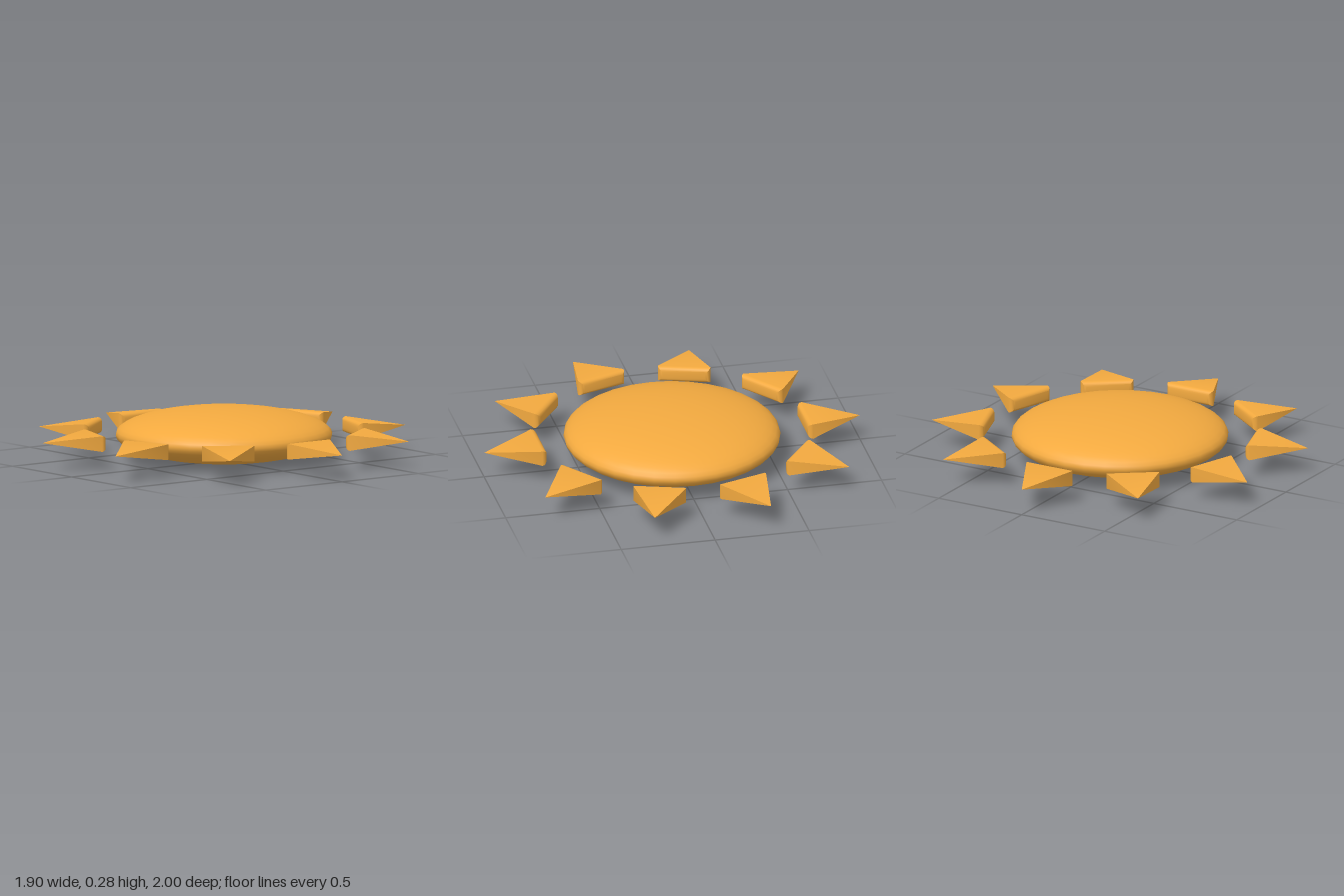
import * as THREE from 'three';
import { toCreasedNormals } from 'three/addons/utils/BufferGeometryUtils.js';

const MID_Y = 0.138;
const RAY_COUNT = 10;

// A rectangular pyramid along +z whose base has rounded edges.
function rayGeometry() {
  const base = 0.693, tip = 1, halfWidth = 0.137, halfHeight = 0.041, round = 0.027, steps = 4;
  const positions = [], index = [];

  // Rectangular rings swelling over the rounded base edge
  for (let i = 0; i <= steps; i++) {
    const t = (i / steps) * Math.PI / 2;
    const inset = round * (1 - Math.sin(t));
    const w = halfWidth - inset, h = halfHeight - inset;
    const z = base + round * (1 - Math.cos(t));
    positions.push(-w, -h, z, w, -h, z, w, h, z, -w, h, z);
  }
  const tipIndex = positions.length / 3;
  positions.push(0, 0, tip);

  // Base cap, rounded edge, then four faces meeting at the tip
  index.push(0, 2, 1, 0, 3, 2);
  for (let i = 0; i <= steps; i++) {
    for (let k = 0; k < 4; k++) {
      const a = i * 4 + k, b = i * 4 + (k + 1) % 4;
      if (i < steps) index.push(a, b, b + 4, a, b + 4, a + 4);
      else index.push(a, b, tipIndex);
    }
  }
  const geometry = new THREE.BufferGeometry();
  geometry.setAttribute('position', new THREE.Float32BufferAttribute(positions, 3));
  geometry.setIndex(index);
  return toCreasedNormals(geometry, 0.75);
}

export function createModel() {
  const model = new THREE.Group();
  model.name = 'sun';
  const material = new THREE.MeshStandardMaterial({ color: 0xf2a93f });

  // Flattened ball in the middle
  const discGeometry = new THREE.SphereGeometry(1, 32, 24);
  discGeometry.scale(0.563, MID_Y, 0.563);
  const disc = new THREE.Mesh(discGeometry, material);
  disc.name = 'disc';
  disc.position.y = MID_Y;
  model.add(disc);

  // Ring of pointed rays
  const rays = new THREE.Group();
  rays.name = 'rays';
  rays.position.y = MID_Y;
  const geometry = rayGeometry();
  for (let i = 0; i < RAY_COUNT; i++) {
    const ray = new THREE.Mesh(geometry, material);
    ray.name = `ray${i + 1}`;
    ray.rotation.y = (i / RAY_COUNT) * Math.PI * 2;
    rays.add(ray);
  }
  model.add(rays);
  return model;
}
